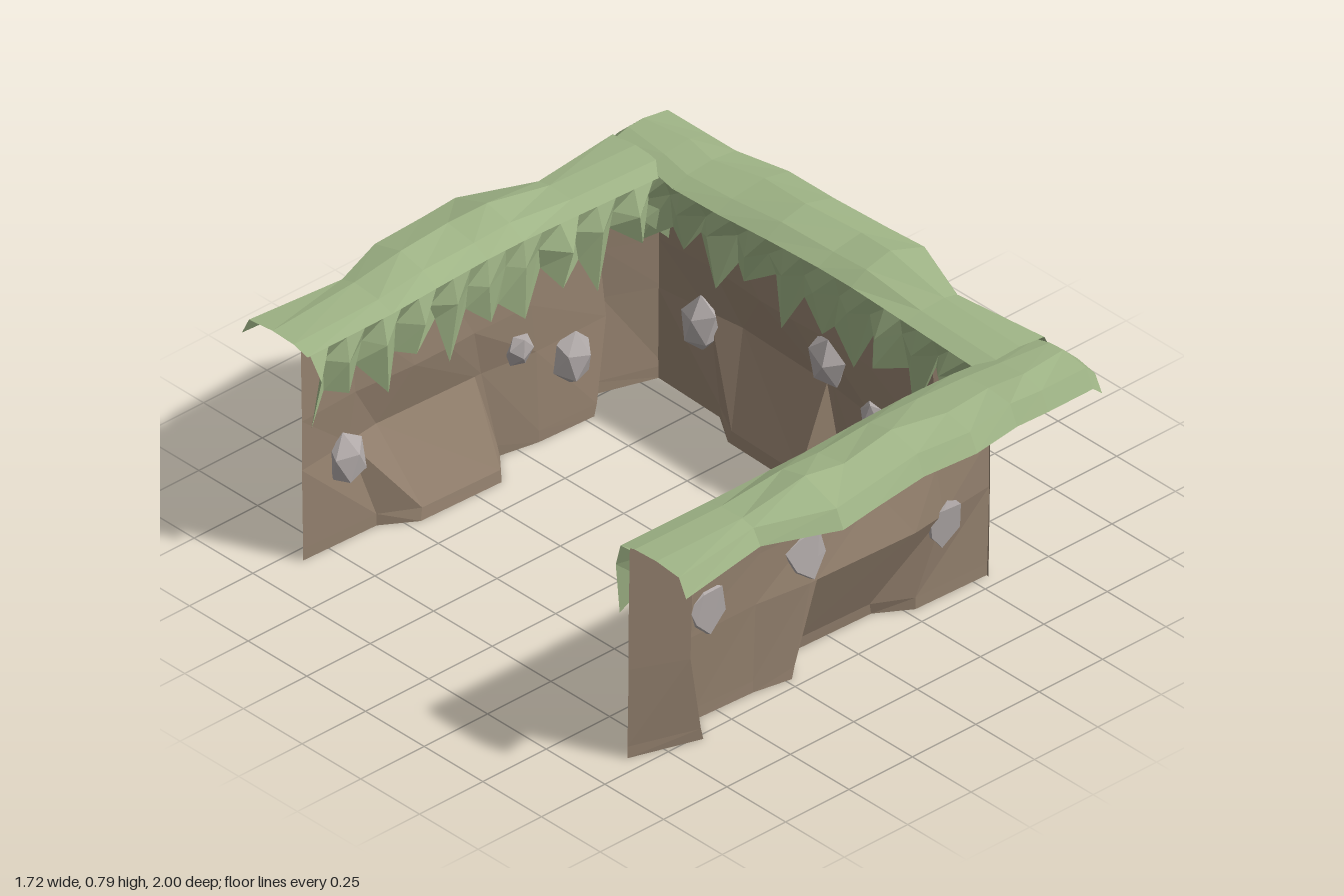
import * as THREE from 'three';

const material = (color) => new THREE.MeshStandardMaterial({ color, flatShading: true, side: THREE.DoubleSide });
const earth = material(0x95826f);
const grass = material(0x9fb486);
const rock = material(0xb0a9a8);

// Faceted sheet through rows of [x, y, z] points
function sheet(rows, mat, name) {
  const pos = [];
  for (let r = 0; r < rows.length - 1; r++) {
    for (let c = 0; c < rows[r].length - 1; c++) {
      const a = rows[r][c], b = rows[r][c + 1], d = rows[r + 1][c], e = rows[r + 1][c + 1];
      pos.push(...a, ...b, ...e, ...a, ...e, ...d);
    }
  }
  const geo = new THREE.BufferGeometry();
  geo.setAttribute('position', new THREE.Float32BufferAttribute(pos, 3));
  geo.computeVertexNormals();
  const mesh = new THREE.Mesh(geo, mat);
  mesh.name = name;
  return mesh;
}

// Earth face: levels of height, each with the x and z of its columns.
// The foot flares inward below the ledge at y 0.31.
function earthWall() {
  const levels = [
    { y: 0, x: [-0.86, -0.63, -0.57, -0.36, -0.23, -0.14, 0.17, 0.28, 0.56],
      z: [0.695, 0.77, 0.68, 0.69, 0.715, 0.61, 0.62, 0.69, 0.70] },
    { y: 0.04, x: [-0.86, -0.64, -0.58, -0.36, -0.22, -0.14, 0.16, 0.28, 0.56],
      z: [0.695, 0.77, 0.68, 0.69, 0.715, 0.615, 0.625, 0.69, 0.70] },
    { y: 0.31, x: [-0.86, -0.69, -0.635, -0.36, -0.165, -0.14, 0.235, 0.36, 0.56],
      z: [0.70, 0.78, 0.70, 0.70, 0.725, 0.725, 0.74, 0.725, 0.705] },
    { y: 0.48, x: [-0.86, -0.685, -0.62, -0.34, -0.12, -0.02, 0.12, 0.34, 0.56],
      z: [0.70, 0.78, 0.705, 0.70, 0.705, 0.70, 0.70, 0.715, 0.705] },
    { y: 0.735, x: [-0.86, -0.68, -0.59, -0.32, -0.16, 0.02, 0.20, 0.36, 0.56],
      z: [0.705, 0.78, 0.715, 0.71, 0.715, 0.715, 0.715, 0.72, 0.71] },
  ];
  return sheet(levels.map(({ y, x, z }) => x.map((v, i) => [v, y, z[i]])), earth, 'earthWall');
}

// Turf cap stations: x, outer z, outer bottom y, outer top y, ridge y, inner z, inner y
const turf = [
  [-0.86, 0.945, 0.675, 0.735, 0.745, 0.665, 0.725],
  [-0.53, 0.905, 0.69, 0.74, 0.75, 0.675, 0.73],
  [-0.29, 1.0, 0.685, 0.745, 0.793, 0.68, 0.735],
  [-0.15, 0.985, 0.69, 0.75, 0.78, 0.68, 0.735],
  [0.06, 0.965, 0.695, 0.76, 0.79, 0.67, 0.735],
  [0.26, 0.975, 0.69, 0.75, 0.77, 0.66, 0.73],
  [0.45, 0.94, 0.68, 0.745, 0.755, 0.66, 0.725],
  [0.57, 0.945, 0.68, 0.74, 0.76, 0.68, 0.73],
  [0.745, 0.945, 0.68, 0.74, 0.755, 0.70, 0.735],
  [0.785, 0.94, 0.645, 0.70, 0.715, 0.70, 0.70],
];
// The last bank ends at the opening instead of turning a corner
const endTurf = [
  ...turf.slice(0, 5),
  [0.24, 0.91, 0.69, 0.745, 0.76, 0.665, 0.73],
  [0.57, 0.95, 0.675, 0.735, 0.745, 0.67, 0.725],
];

function turfCap(stations) {
  return sheet([
    stations.map(([x, zo, yb]) => [x, yb, zo]),
    stations.map(([x, zo, , yt]) => [x, yt, zo - 0.03]),
    stations.map(([x, zo, , , yr], i) => [x, yr, 0.82 + (i % 2) * 0.02 + (zo - 0.95) * 0.3]),
    stations.map(([x, , , , yr, zi, yi]) => [x, (yr + yi) / 2 + 0.006, zi + 0.06]),
    stations.map(([x, , , , , zi, yi]) => [x, yi, zi]),
  ], grass, 'turfCap');
}

// Tuft blades hanging on the inner side: tip y, tip z, valley y after the tip
const blades = [
  [0.49, 0.65, 0.58], [0.54, 0.64, 0.62], [0.44, 0.655, 0.56], [0.53, 0.635, 0.60],
  [0.46, 0.67, 0.55], [0.51, 0.67, 0.59], [0.45, 0.665, 0.61], [0.55, 0.65, 0.57],
  [0.47, 0.645, 0.60], [0.53, 0.655, 0.56], [0.49, 0.635, 0.60],
];

function hangingTufts(stations) {
  const top = [], mid = [], low = [];
  const n = blades.length * 2 - 1;
  for (let i = 0; i < n; i++) {
    const wobble = i === 0 ? 0 : 0.018 * Math.sin(i * 2.3);
    const x = -0.86 + (1.42 * i) / (n - 1);
    const k = Math.max(1, stations.findIndex((s) => s[0] >= x));
    const [a, b] = [stations[k - 1], stations[k]];
    const t = (x - a[0]) / (b[0] - a[0]);
    const zi = THREE.MathUtils.lerp(a[5], b[5], t), yi = THREE.MathUtils.lerp(a[6], b[6], t);
    const [tipY, tipZ, valleyY] = blades[i >> 1];
    const tip = i % 2 === 0;
    top.push([x, yi, zi]);
    mid.push([x - wobble * 0.5, tip ? 0.65 : 0.67, tip ? tipZ - 0.005 : 0.69]);
    low.push([x + wobble, tip ? tipY : valleyY, tip ? tipZ + 0.012 : 0.695]);
  }
  return sheet([top, mid, low], grass, 'hangingTufts');
}

// Stones set into the inner face: x, y, radius, tilt, depth showing on the outside
const stones = [
  [-0.55, 0.38, 0.09, 0.4, 0.006], [-0.17, 0.41, 0.09, 1.1, 0.006],
  [-0.37, 0.31, 0.06, 2.0, -0.006], [0.38, 0.27, 0.088, 2.6, 0.004],
];
const endStones = [
  [-0.49, 0.24, 0.088, 0.4, 0.006], [-0.29, 0.35, 0.058, 2.0, 0.004], [0.38, 0.27, 0.088, 2.6, 0.004],
];

function addStones(group, wall, list) {
  const ray = new THREE.Raycaster();
  list.forEach(([x, y, r, tilt, show]) => {
    ray.set(new THREE.Vector3(x, y, 2), new THREE.Vector3(0, 0, -1));
    const hit = ray.intersectObject(wall)[0];
    const geo = new THREE.IcosahedronGeometry(r, 0);
    geo.rotateX(tilt * 1.7).rotateY(tilt).scale(0.85, 1.05, 0.7);
    // Flatten the buried side against the earth
    const p = geo.attributes.position;
    for (let i = 0; i < p.count; i++) p.setZ(i, Math.min(p.getZ(i), show));
    geo.computeVertexNormals();
    const stone = new THREE.Mesh(geo, rock);
    stone.name = 'stone';
    const normal = hit.face.normal.clone();
    if (normal.z < 0) normal.negate();
    stone.quaternion.setFromUnitVectors(new THREE.Vector3(0, 0, 1), normal);
    stone.position.copy(hit.point);
    group.add(stone);
  });
}

function bank(name, stations, stoneList) {
  const group = new THREE.Group();
  group.name = name;
  const wall = earthWall();
  group.add(wall, turfCap(stations), hangingTufts(stations));
  addStones(group, wall, stoneList);
  return group;
}

export function createModel() {
  const model = new THREE.Group();
  model.name = 'grassyCliff';
  // The same bank turned around three sides, open on the fourth
  const front = bank('frontBank', turf, stones);
  const side = bank('sideBank', turf, stones);
  side.rotation.y = Math.PI / 2;
  side.position.set(-0.145, 0, -0.15);
  const back = bank('backBank', endTurf, endStones);
  back.rotation.y = Math.PI;
  back.position.set(-0.288, 0, 0);
  model.add(front, side, back);
  return model;
}
